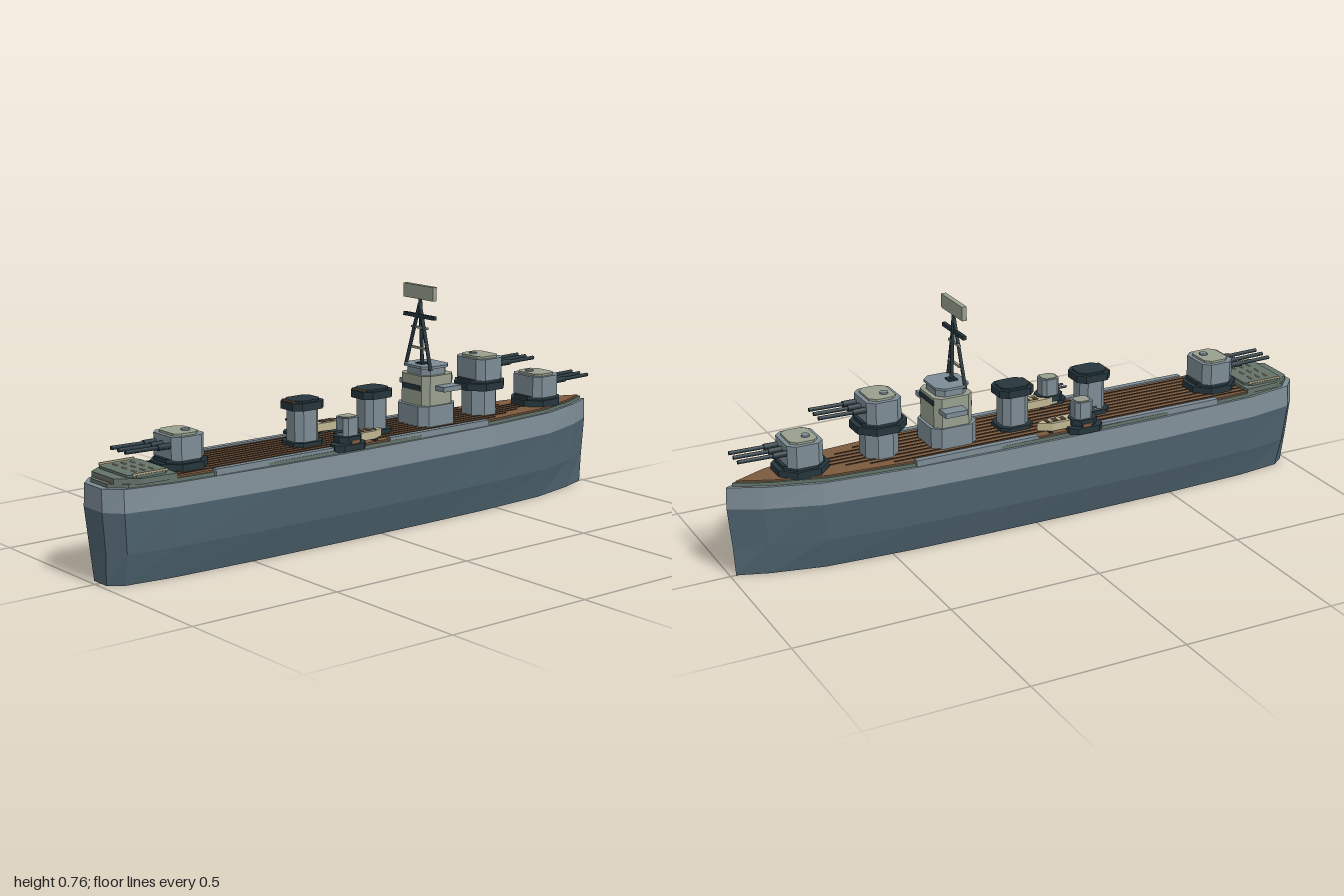
import * as THREE from 'three';

const mat = (name, color) => Object.assign(new THREE.MeshStandardMaterial({ color }), { name });

export function createModel() {
  const M = {
    lower: mat('lower hull blue grey', 0x4f6470),
    grey: mat('ship grey', 0x7d8c95),
    dark: mat('dark steel', 0x25363d),
    deck: mat('deck brown', 0x7c5a3e),
    seam: mat('plank seam', 0x4b3a2c),
    pale: mat('pale olive', 0x98a08f),
    green: mat('quarterdeck green', 0x64736a),
    cream: mat('boat cream', 0xc2b793),
  };
  const ship = new THREE.Group();
  ship.name = 'warship';

  const add = (name, geo, m, x = 0, y = 0, z = 0, parent = ship) => {
    const mesh = new THREE.Mesh(geo, m);
    mesh.name = name;
    mesh.position.set(x, y, z);
    parent.add(mesh);
    return mesh;
  };
  const box = (name, m, w, h, d, x, y, z, parent) =>
    add(name, new THREE.BoxGeometry(w, h, d), m, x, y, z, parent);
  // Upright prism over a plan outline of [x, z] points
  const prism = (pts, h) => new THREE.ExtrudeGeometry(
    new THREE.Shape(pts.map(([x, z]) => new THREE.Vector2(x, -z))),
    { depth: h, bevelEnabled: false }).rotateX(-Math.PI / 2);
  // Box with its four upright edges cut off; y is its underside
  const block = (name, m, w, h, d, c, x, y, z, parent) => {
    const a = w / 2, b = d / 2;
    return add(name, prism([[a - c, b], [a, b - c], [a, c - b], [a - c, -b],
      [c - a, -b], [-a, c - b], [-a, b - c], [c - a, b]], h), m, x, y, z, parent);
  };
  const rod = (name, m, r, from, to, parent = ship, sides = 8) => {
    const a = new THREE.Vector3(...from), b = new THREE.Vector3(...to);
    const dir = b.clone().sub(a);
    const mesh = add(name, new THREE.CylinderGeometry(r, r, dir.length(), sides), m, 0, 0, 0, parent);
    mesh.position.copy(a).add(b).multiplyScalar(0.5);
    mesh.quaternion.setFromUnitVectors(new THREE.Vector3(0, 1, 0), dir.normalize());
    return mesh;
  };

  // Hull: one plan outline, scaled at each level
  const half = [[0.05, 1], [0.1, 0.955], [0.128, 0.8], [0.145, 0.45], [0.148, 0.15],
    [0.143, -0.2], [0.135, -0.45], [0.108, -0.73], [0.052, -0.9]];
  const plan = [...half, [0, -1], ...half.slice().reverse().map(([x, z]) => [-x, z])];
  const scaled = (sx, sz) => plan.map(([x, z]) => [x * sx, z * sz]);
  const hullBand = (name, m, levels, bottom) => {
    const pos = [];
    const rings = levels.map(([y, sx, sz]) => scaled(sx, sz).map(([x, z]) => [x, y, z]));
    const n = plan.length;
    for (let k = 0; k + 1 < rings.length; k++) {
      for (let i = 0; i < n; i++) {
        const j = (i + 1) % n, lo = rings[k], hi = rings[k + 1];
        pos.push(...lo[i], ...lo[j], ...hi[j], ...lo[i], ...hi[j], ...hi[i]);
      }
    }
    const r = bottom ? rings[0] : rings[rings.length - 1];
    for (let i = 1; i < n - 1; i++) {
      pos.push(...r[0], ...(bottom ? r[i + 1] : r[i]), ...(bottom ? r[i] : r[i + 1]));
    }
    const g = new THREE.BufferGeometry();
    g.setAttribute('position', new THREE.Float32BufferAttribute(pos, 3));
    g.computeVertexNormals();
    add(name, g, m);
  };
  hullBand('lowerHull', M.lower, [[0, 0.67, 0.982], [0.1, 0.9, 0.988], [0.225, 1, 1]], true);
  hullBand('upperHull', M.grey, [[0.225, 1, 1], [0.295, 0.95, 0.998]], false);

  // Deck, planks and edge strips
  add('deckTrim', prism(scaled(0.89, 0.978), 0.012), M.green, 0, 0.294, 0);
  add('woodDeck', prism(scaled(0.84, 0.965), 0.017), M.deck, 0, 0.294, 0);
  for (let i = -4; i <= 4; i++) {
    const len = 1.55 - Math.abs(i) * 0.07;
    box('plankSeam', M.seam, 0.004, 0.004, len, i * 0.023, 0.3115, 0.78 - len / 2);
  }
  for (const s of [-1, 1]) {
    box('deckEdgeStrip', M.grey, 0.02, 0.02, 0.45, s * 0.118, 0.306, 0.43);
    box('deckEdgeStrip', M.grey, 0.02, 0.02, 0.42, s * 0.118, 0.306, -0.22);
  }

  // Quarterdeck at the stern
  add('quarterdeck', prism([[0.115, 0.78], [-0.115, 0.78], [-0.108, 0.9], [-0.06, 0.965],
    [0.06, 0.965], [0.108, 0.9]], 0.017), M.green, 0, 0.305, 0);
  block('quarterdeckPlate', M.green, 0.19, 0.01, 0.14, 0.02, 0, 0.32, 0.86);
  for (const x of [-0.09, 0.09]) box('sternRail', M.cream, 0.006, 0.008, 0.12, x, 0.331, 0.86);
  for (const z of [0.83, 0.86, 0.89]) {
    for (const x of [-0.05, 0, 0.05]) box('deckCleat', M.cream, 0.022, 0.005, 0.005, x, 0.331, z);
  }

  // Main turrets: three barrels, pointing to local +z
  const turret = (name, y, z, turned) => {
    const g = new THREE.Group();
    g.name = name;
    g.position.set(0, y, z);
    g.rotation.y = turned ? Math.PI : 0;
    ship.add(g);
    block('turretRing', M.dark, 0.155, 0.024, 0.165, 0.045, 0, 0, 0, g);
    block('turretCollar', M.dark, 0.135, 0.014, 0.135, 0.035, 0, 0.022, 0, g);
    block('turretHouse', M.grey, 0.138, 0.07, 0.115, 0.022, 0, 0.034, 0, g);
    block('turretRoof', M.pale, 0.11, 0.008, 0.088, 0.018, 0, 0.103, 0, g);
    add('roofHatch', new THREE.CylinderGeometry(0.014, 0.014, 0.006, 8), M.grey, 0.015, 0.113, -0.015, g);
    for (const x of [-0.038, 0, 0.038]) {
      rod('barrelSleeve', M.dark, 0.01, [x, 0.077, 0.05], [x, 0.077, 0.1], g);
      rod('barrel', M.dark, 0.0065, [x, 0.077, 0.1], [x, 0.079, 0.21], g);
    }
  };
  turret('aftTurret', 0.308, 0.7, false);
  turret('foreTurret', 0.308, -0.76, true);
  block('turretPedestal', M.grey, 0.11, 0.1, 0.11, 0.03, 0, 0.305, -0.5);
  turret('raisedTurret', 0.398, -0.5, true);

  // Bridge tower
  block('bridgeBase', M.grey, 0.15, 0.07, 0.155, 0.025, 0, 0.308, -0.268);
  block('bridgeBody', M.pale, 0.138, 0.1, 0.13, 0.02, 0, 0.375, -0.27);
  box('bridgeWings', M.grey, 0.222, 0.016, 0.075, 0, 0.435, -0.285);
  box('bridgeWindows', M.dark, 0.1, 0.016, 0.008, 0, 0.458, -0.334);
  box('aftWindow', M.dark, 0.09, 0.018, 0.008, 0, 0.435, -0.206);
  block('bridgeTop', M.grey, 0.112, 0.026, 0.105, 0.022, 0, 0.474, -0.268);
  block('bridgeRoof', M.grey, 0.13, 0.008, 0.115, 0.024, 0, 0.497, -0.268);

  // Tripod mast and radar
  rod('mastPost', M.dark, 0.006, [0, 0.5, -0.25], [0, 0.72, -0.24]);
  for (const s of [-1, 1]) rod('mastLeg', M.dark, 0.006, [s * 0.062, 0.493, -0.232], [0, 0.705, -0.238]);
  box('mastYard', M.dark, 0.15, 0.012, 0.012, 0, 0.663, -0.238);
  for (const y of [0.558, 0.625]) box('mastBrace', M.pale, 0.076, 0.007, 0.008, 0, y, -0.238);
  box('mastFoot', M.dark, 0.03, 0.006, 0.03, 0, 0.507, -0.25);
  box('radarPanel', M.pale, 0.146, 0.045, 0.016, 0, 0.741, -0.238);

  // Funnels
  for (const z of [0.24, -0.038]) {
    block('funnelFoot', M.dark, 0.105, 0.016, 0.115, 0.022, 0, 0.308, z);
    block('funnel', M.grey, 0.082, 0.125, 0.09, 0.02, 0, 0.31, z);
    block('funnelCap', M.dark, 0.105, 0.024, 0.12, 0.022, 0, 0.425, z);
    block('funnelRim', M.dark, 0.084, 0.008, 0.1, 0.02, 0, 0.447, z);
    box('funnelBand', M.deck, 0.06, 0.007, 0.004, 0, 0.451, z + 0.051);
  }

  // Side gun mounts and boats, mirrored
  for (const s of [-1, 1]) {
    block('sponson', M.dark, 0.07, 0.02, 0.12, 0.022, s * 0.12, 0.303, 0.155);
    block('mountRing', M.dark, 0.074, 0.02, 0.09, 0.022, s * 0.114, 0.327, 0.152);
    block('mountCore', M.grey, 0.05, 0.02, 0.06, 0.01, s * 0.114, 0.312, 0.15);
    block('mountHouse', M.grey, 0.058, 0.058, 0.062, 0.012, s * 0.111, 0.345, 0.15);
    block('mountRoof', M.pale, 0.046, 0.005, 0.05, 0.01, s * 0.111, 0.401, 0.15);
    for (const d of [-0.012, 0.012]) {
      rod('mountBarrel', M.dark, 0.004, [s * 0.111 + d, 0.362, 0.17], [s * 0.111 + d, 0.362, 0.212]);
    }
    box('mountStep', M.deck, 0.014, 0.012, 0.03, s * 0.147, 0.33, 0.15);
    // Boat with pointed ends and an open well
    const boat = prism([[0, -0.085], [0.024, -0.04], [0.024, 0.045], [0.01, 0.085],
      [-0.01, 0.085], [-0.024, 0.045], [-0.024, -0.04]], 0.026);
    add('boat', boat, M.cream, s * 0.095, 0.318, 0.085);
    box('boatWell', M.seam, 0.026, 0.004, 0.07, s * 0.095, 0.3435, 0.065);
    for (const z of [0.045, 0.075]) box('boatSeat', M.cream, 0.028, 0.005, 0.01, s * 0.095, 0.3445, z);
    for (const z of [0.04, 0.11]) box('boatCradle', M.dark, 0.05, 0.012, 0.01, s * 0.095, 0.313, z);
  }
  return ship;
}
